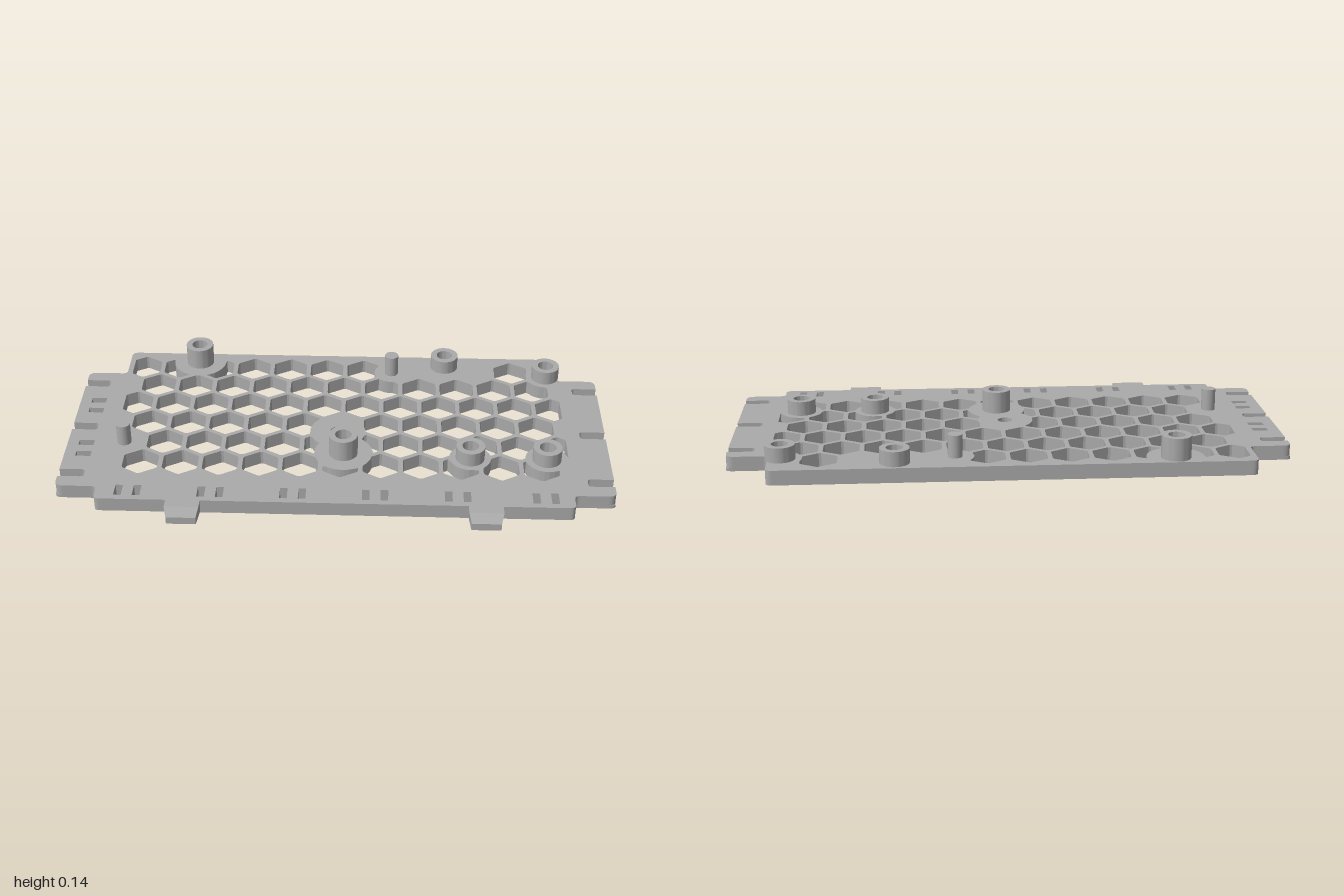
import * as THREE from 'three';
import { toCreasedNormals } from 'three/addons/utils/BufferGeometryUtils.js';

const TOP = 0.053, RECESS = 0.012;

// Bosses: x, z, height, clear radius around them
const BOSSES = [
  [-0.567, -0.457, 0.135, 0.103], [0.025, 0.143, 0.135, 0.107],
  [0.41, -0.452, 0.107, 0.075], [0.807, -0.388, 0.107, 0.075],
  [0.49, 0.16, 0.107, 0.076], [0.77, 0.16, 0.107, 0.078],
];
const PINS = [[-0.79, 0.1, 0.135, 0.065], [0.2, -0.4, 0.135, 0.067]];
const CENTRE = [0, 0.008, 0, 0.103];

// Closed path with softened corners; points are [x, z, radius]
function rounded(pts, path = new THREE.Shape()) {
  const n = pts.length;
  pts.forEach(([x, z, r = 0], i) => {
    const p = new THREE.Vector2(x, z);
    const toward = (q) => {
      const d = new THREE.Vector2(q[0], q[1]).sub(p);
      return d.setLength(Math.min(r, d.length() / 2)).add(p);
    };
    const a = r ? toward(pts[(i + n - 1) % n]) : p;
    if (i === 0) path.moveTo(a.x, a.y); else path.lineTo(a.x, a.y);
    if (r) {
      const b = toward(pts[(i + 1) % n]);
      path.quadraticCurveTo(x, z, b.x, b.y);
    }
  });
  path.closePath();
  return path;
}

// Plate outline with three notches in the end of each wing
function outline(half, depth, r) {
  const side = [[0.85, -0.515, 0.025], [0.85, -0.36, 0.02], [1, -0.36, 0.03]];
  for (const z of [-0.285, 0.007, 0.298]) {
    side.push([1, z - half], [depth, z - half, r], [depth, z + half, r], [1, z + half]);
  }
  side.push([1, 0.375, 0.03], [0.85, 0.375, 0.02], [0.85, 0.445, 0.02]);
  const mirrored = side.map(([x, z, c]) => [-x, z, c]).reverse();
  return rounded([...side, ...mirrored]);
}

// Cut a circular pad out of a cell, closing the gap with an arc
function cutByPad(pts, [cx, cz, , r]) {
  const n = pts.length;
  const out = pts.map(([x, z]) => Math.hypot(x - cx, z - cz) > r);
  if (out.every(Boolean)) return pts;
  const start = out.findIndex((o, i) => o && !out[(i + n - 1) % n]);
  if (start < 0) return [];
  let best = [], run = [];
  for (let k = 0; k <= n; k++) {
    const i = (start + k) % n;
    if (k < n && out[i]) run.push(pts[i]);
    else {
      if (run.length > best.length) best = run;
      run = [];
    }
  }
  const angle = ([x, z]) => Math.atan2(z - cz, x - cx);
  const a = angle(best[best.length - 1]);
  let d = angle(best[0]) - a;
  d = Math.atan2(Math.sin(d), Math.cos(d));
  const arc = [];
  for (let k = 1; k < 8; k++) {
    const t = a + d * k / 8;
    arc.push([cx + r * Math.cos(t), cz + r * Math.sin(t)]);
  }
  return [...best, ...arc];
}

// Hexagon outline sampled along its edges, corners slightly blunted
function hexagon(cx, cz, R) {
  const pts = [];
  for (let e = 0; e < 6; e++) {
    const a = Math.PI / 6 + e * Math.PI / 3, b = a + Math.PI / 3;
    for (let k = 0; k < 9; k++) {
      const t = 0.07 + 0.86 * k / 8;
      const x = cx + R * (Math.cos(a) * (1 - t) + Math.cos(b) * t);
      const z = cz + R * (Math.sin(a) * (1 - t) + Math.sin(b) * t);
      pts.push([Math.min(0.85, Math.max(-0.83, x)), z]);
    }
  }
  return pts;
}

function plateHoles() {
  const holes = [];
  const pads = [...BOSSES, ...PINS, CENTRE];
  // Cells left solid, as row:column
  const solid = ['0:7', '0:8', '0:9', '0:11', '3:5', '4:0'];
  for (let row = 0; row < 6; row++) {
    const odd = row % 2;
    for (let col = 0; col < 12 - odd; col++) {
      if (solid.includes(`${row}:${col}`)) continue;
      let pts = hexagon(-0.786 + (col + odd / 2) * 0.1459, -0.411 + row * 0.1263, 0.0745);
      for (const pad of pads) if (pts.length) pts = cutByPad(pts, pad);
      const v = pts.map(([x, z]) => new THREE.Vector2(x, z));
      if (v.length > 2 && Math.abs(THREE.ShapeUtils.area(v)) > 0.0005) holes.push(new THREE.Path(v));
    }
  }
  const rect = (x, z, w, d) => holes.push(rounded([
    [x - w / 2, z - d / 2], [x + w / 2, z - d / 2], [x + w / 2, z + d / 2], [x - w / 2, z + d / 2],
  ], new THREE.Path()));
  // Paired slots along the front edge, and slots in the right wing
  for (const x of [-0.735, -0.44, -0.147, 0.145, 0.438, 0.748]) {
    rect(x - 0.033, 0.393, 0.027, 0.058);
    rect(x + 0.033, 0.393, 0.027, 0.058);
  }
  for (const z of [-0.167, -0.1, 0.112, 0.18]) rect(-0.93, z, 0.056, 0.03);
  // Centre screw hole
  const round = new THREE.Path();
  round.absarc(CENTRE[0], CENTRE[1], 0.028, 0, Math.PI * 2);
  holes.push(round);
  return holes;
}

export function createModel() {
  const group = new THREE.Group();
  const grey = new THREE.MeshStandardMaterial({ color: 0xaaaaaa });
  grey.name = 'grey plastic';
  const add = (name, geometry, x = 0, y = 0, z = 0) => {
    const mesh = new THREE.Mesh(geometry, grey);
    mesh.name = name;
    mesh.position.set(x, y, z);
    group.add(mesh);
  };

  // Plate in two layers: the lower one has the wider screw head recesses
  const holes = plateHoles();
  const layer = (name, shape, bottom, top) => {
    shape.holes = holes;
    const g = new THREE.ExtrudeGeometry(shape, { depth: top - bottom, bevelEnabled: false, curveSegments: 8 });
    g.rotateX(Math.PI / 2);
    add(name, g, 0, top, 0);
  };
  layer('plateLower', outline(0.054, 0.87, 0.054), 0, RECESS);
  layer('plateUpper', outline(0.021, 0.905, 0.014), RECESS, TOP);

  // Hollow bosses and solid pins
  const lathe = (pts) => toCreasedNormals(
    new THREE.LatheGeometry(pts.map((p) => new THREE.Vector2(...p)), 32), 0.6);
  for (const [x, z, h] of BOSSES) {
    add('boss', lathe([[0, 0], [0.053, 0], [0.053, h], [0.03, h], [0.03, 0.05], [0, 0.05]]), x, 0, z);
  }
  for (const [x, z, h] of PINS) {
    add('pin', new THREE.CylinderGeometry(0.026, 0.026, h - 0.01, 24), x, (h + 0.01) / 2, z);
  }

  // Front clips with a sloped, slightly tapered nose
  const profile = new THREE.Shape([
    [0.43, 0], [0.512, 0], [0.512, 0.028], [0.482, TOP], [0.43, TOP],
  ].map((p) => new THREE.Vector2(...p)));
  for (const x of [-0.533, 0.535]) {
    const g = new THREE.ExtrudeGeometry(profile, { depth: 0.122, bevelEnabled: false });
    g.translate(0, 0, -0.061).rotateY(-Math.PI / 2);
    const p = g.attributes.position;
    for (let i = 0; i < p.count; i++) if (p.getZ(i) > 0.5) p.setX(i, p.getX(i) * 0.86);
    g.computeVertexNormals();
    add('frontClip', g, x, 0, 0);
  }
  return group;
}
